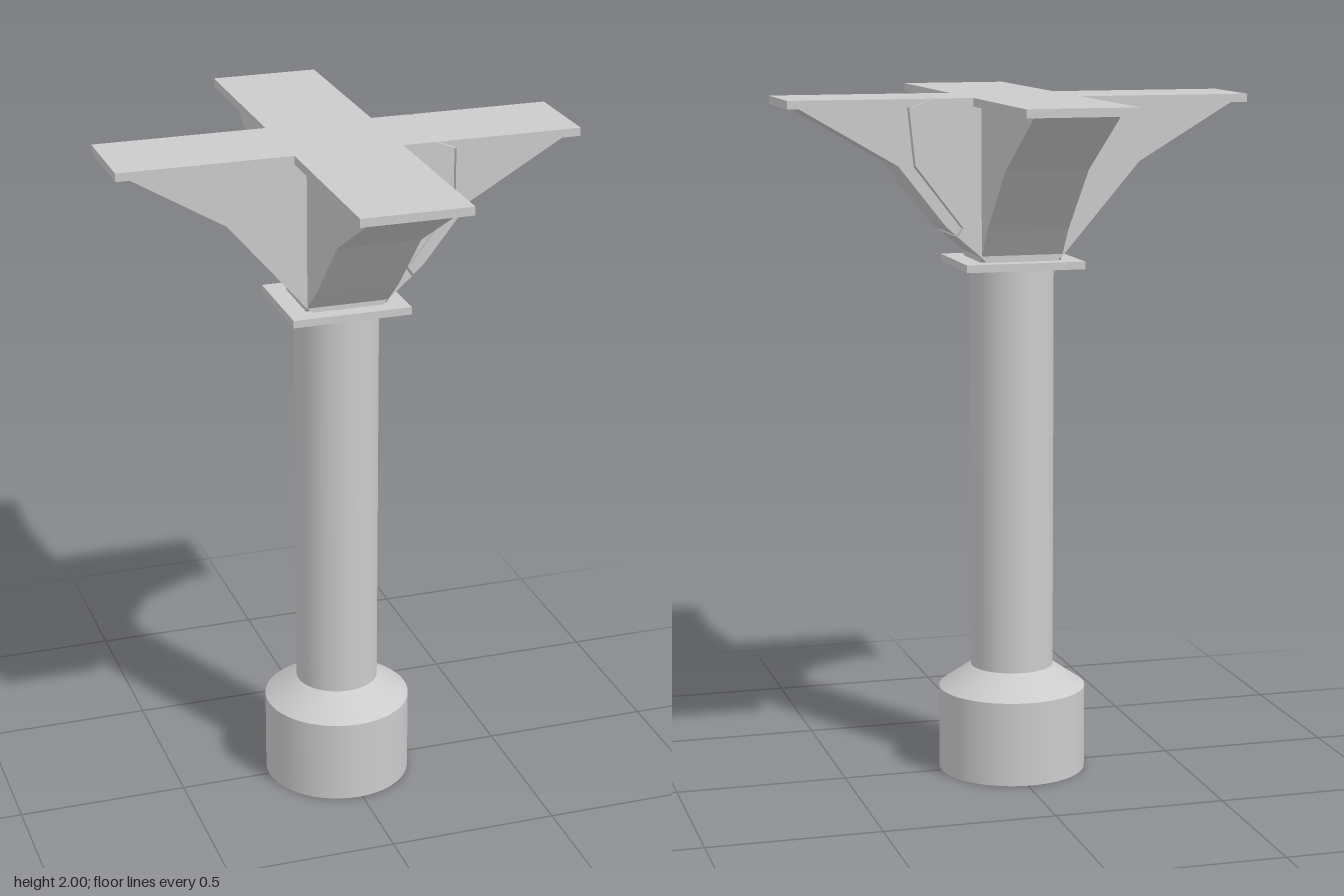
import * as THREE from 'three';

const material = new THREE.MeshStandardMaterial({ color: 0xcccccc });
const openMaterial = new THREE.MeshStandardMaterial({ color: 0xcccccc, side: THREE.DoubleSide });

const TOP = 2, UNDER = 1.976, SEAT = 1.53; // slab top, slab underside, bracket foot
const CX = -0.011;                          // column axis

function add(group, name, geometry, mat = material) {
  const mesh = new THREE.Mesh(geometry, mat);
  mesh.name = name;
  group.add(mesh);
  return mesh;
}

// Box given by its minimum and maximum corners
function boxBetween(x0, x1, y0, y1, z0, z1) {
  return new THREE.BoxGeometry(x1 - x0, y1 - y0, z1 - z0)
    .translate((x0 + x1) / 2, (y0 + y1) / 2, (z0 + z1) / 2);
}

// Side profile in XY pulled along z from z0 to z1
function plate(points, z0, z1) {
  const shape = new THREE.Shape(points.map(([x, y]) => new THREE.Vector2(x, y)));
  return new THREE.ExtrudeGeometry(shape, { depth: z1 - z0, bevelEnabled: false }).translate(0, 0, z0);
}

// Let the crack drift outward towards the back
function slantCrack(geometry) {
  const p = geometry.attributes.position;
  for (let i = 0; i < p.count; i++) {
    const x = p.getX(i);
    if (p.getZ(i) < 0 && p.getY(i) > 1.9 && x > 0.2 && x < 0.33) p.setX(i, x + 0.018);
  }
  geometry.computeVertexNormals();
  return geometry;
}

export function createModel() {
  const model = new THREE.Group();
  model.name = 'crossHeadColumn';

  // Round column with flared base; separate bands keep the edges crisp
  const bands = [
    ['base', 0.217, 0.217, 0, 0.25],
    ['baseTaper', 0.217, 0.122, 0.25, 0.315],
    ['shaft', 0.122, 0.122, 0.315, 1.508],
  ];
  for (const [name, r0, r1, y0, y1] of bands) {
    const band = new THREE.CylinderGeometry(r1, r0, y1 - y0, 48, 1, true);
    add(model, name, band.translate(CX, (y0 + y1) / 2, 0), openMaterial);
  }

  // Bearing plate on top of the shaft
  add(model, 'bearingPlate', boxBetween(-0.185, 0.165, 1.508, SEAT, -0.159, 0.148));

  // Cross-shaped slab, with the +x arm broken by a crack
  const zA = -0.152, zB = 0.122;
  add(model, 'slabLong', boxBetween(-0.171, 0.143, UNDER, TOP, -0.687, 0.682));
  add(model, 'slabRightArm', boxBetween(-0.673, -0.171, UNDER, TOP, zA, zB));
  add(model, 'slabLeftArmInner', slantCrack(plate(
    [[0.143, UNDER], [0.3, UNDER], [0.24, TOP], [0.143, TOP]], zA, zB)));
  add(model, 'slabLeftArmOuter', slantCrack(plate(
    [[0.306, UNDER], [0.673, UNDER], [0.673, TOP], [0.246, TOP]], zA, zB)));

  // Bracket under the x arms, cut along the crack
  const wA = -0.115, wB = 0.102;
  add(model, 'sideBracket', slantCrack(plate([
    [-0.64, UNDER], [-0.36, 1.81], [-0.132, 1.545], [-0.115, SEAT], [0.095, SEAT], [0.11, 1.545],
    [0.18, 1.605], [0.163, 1.63], [0.302, 1.81], [0.302, UNDER],
  ], wA, wB)));
  add(model, 'brokenBracket', slantCrack(plate([
    [0.186, 1.611], [0.215, 1.637], [0.352, 1.81], [0.637, UNDER], [0.308, UNDER],
    [0.308, 1.808], [0.17, 1.631],
  ], wA, wB)));

  // Bracket under the z arms: profile drawn along x, then turned so x becomes +z
  const frontBack = plate([
    [-0.65, UNDER], [-0.363, 1.81], [-0.172, 1.625], [-0.112, 1.545], [-0.097, SEAT], [0.088, SEAT],
    [0.103, 1.545], [0.193, 1.625], [0.368, 1.81], [0.655, UNDER],
  ], -0.11, 0.13);
  add(model, 'frontBackBracket', frontBack.rotateY(-Math.PI / 2));

  return model;
}
